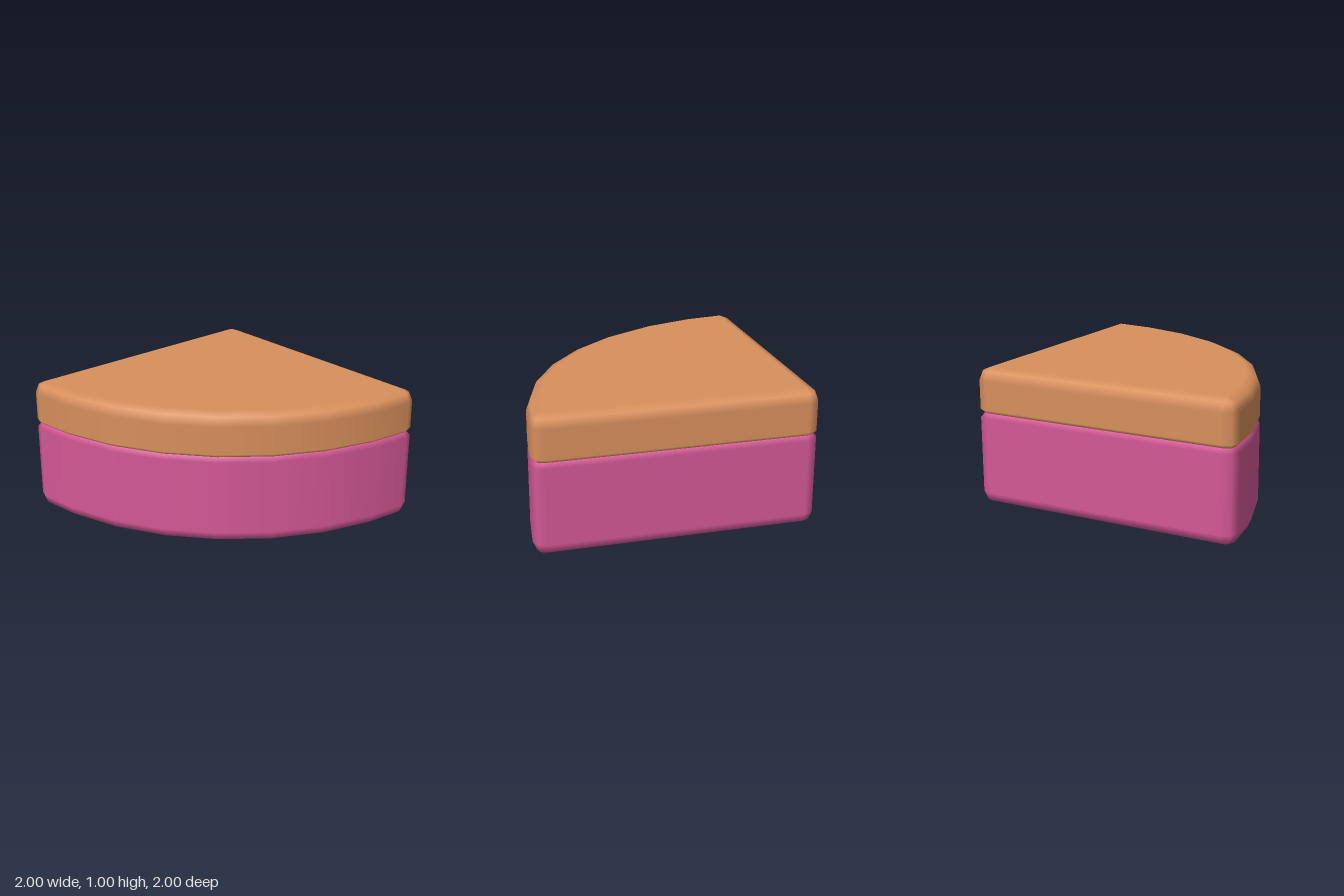
import * as THREE from 'three';

const R = 0.09, D = Math.SQRT1_2;

// Rounded quarter-circle outline: core point plus outward direction, ordered clockwise from above
function outline() {
  const pts = [];
  const add = (x, z, nx, nz) => pts.push({ x, z, nx, nz });
  add(1 - R, -1 + R, 0, -1);
  add(1 - R, -1 + R, D, -D);
  add(1 - R, -1 + R, 1, 0);
  add(1 - R, 1 - R, 1, 0);
  add(1 - R, 1 - R, D, D);
  for (let i = 0; i <= 8; i++) {
    const a = THREE.MathUtils.degToRad(Math.min(Math.max(i * 11.25, 2.7), 87.3));
    const nx = -Math.sin(a), nz = Math.cos(a);
    add(1 + nx * (2 - R), -1 + nz * (2 - R), nx, nz);
  }
  add(-1 + R, -1 + R, -D, -D);
  add(-1 + R, -1 + R, 0, -1);
  return pts;
}

// Stack of outline rings; each ring is [height, inset, normal out, normal up]
function layer(name, rings, material) {
  const pts = outline(), n = pts.length;
  const pos = [], nor = [], idx = [];
  const addRing = (y, inset, out, up) => {
    for (const p of pts) {
      pos.push(p.x + p.nx * (R - inset), y, p.z + p.nz * (R - inset));
      nor.push(p.nx * out, up, p.nz * out);
    }
  };
  for (const ring of rings) addRing(...ring);
  for (let r = 0; r < rings.length - 1; r++) {
    for (let i = 0; i < n; i++) {
      const a = r * n + i, b = r * n + (i + 1) % n;
      idx.push(a, a + n, b, b, a + n, b + n);
    }
  }
  // Flat caps
  for (const up of [-1, 1]) {
    const [y, inset] = up < 0 ? rings[0] : rings[rings.length - 1];
    const start = pos.length / 3;
    addRing(y, inset, 0, up);
    for (let i = 1; i < n - 1; i++) {
      if (up > 0) idx.push(start, start + i + 1, start + i);
      else idx.push(start, start + i, start + i + 1);
    }
  }
  const geo = new THREE.BufferGeometry();
  geo.setAttribute('position', new THREE.Float32BufferAttribute(pos, 3));
  geo.setAttribute('normal', new THREE.Float32BufferAttribute(nor, 3));
  geo.setIndex(idx);
  const mesh = new THREE.Mesh(geo, material);
  mesh.name = name;
  return mesh;
}

export function createModel() {
  const pink = new THREE.MeshStandardMaterial({ color: 0xd45896 });
  pink.name = 'pink';
  const tan = new THREE.MeshStandardMaterial({ color: 0xd88f5c });
  tan.name = 'tan';
  const bevel = R * (1 - D);

  const group = new THREE.Group();
  group.name = 'quarterRoundCabinet';
  group.add(
    layer('cabinetBody', [
      [0, R, 0, -1], [bevel, bevel, D, -D], [R, 0, 1, 0],
      [0.64, 0, 1, 0], [0.672, 0.03, D, D],
    ], pink),
    layer('counterTop', [
      [0.672, 0.03, D, -D], [0.7, 0, 1, 0], [1 - R, 0, 1, 0],
      [1 - bevel, bevel, D, D], [1, R, 0, 1],
    ], tan),
  );
  return group;
}
